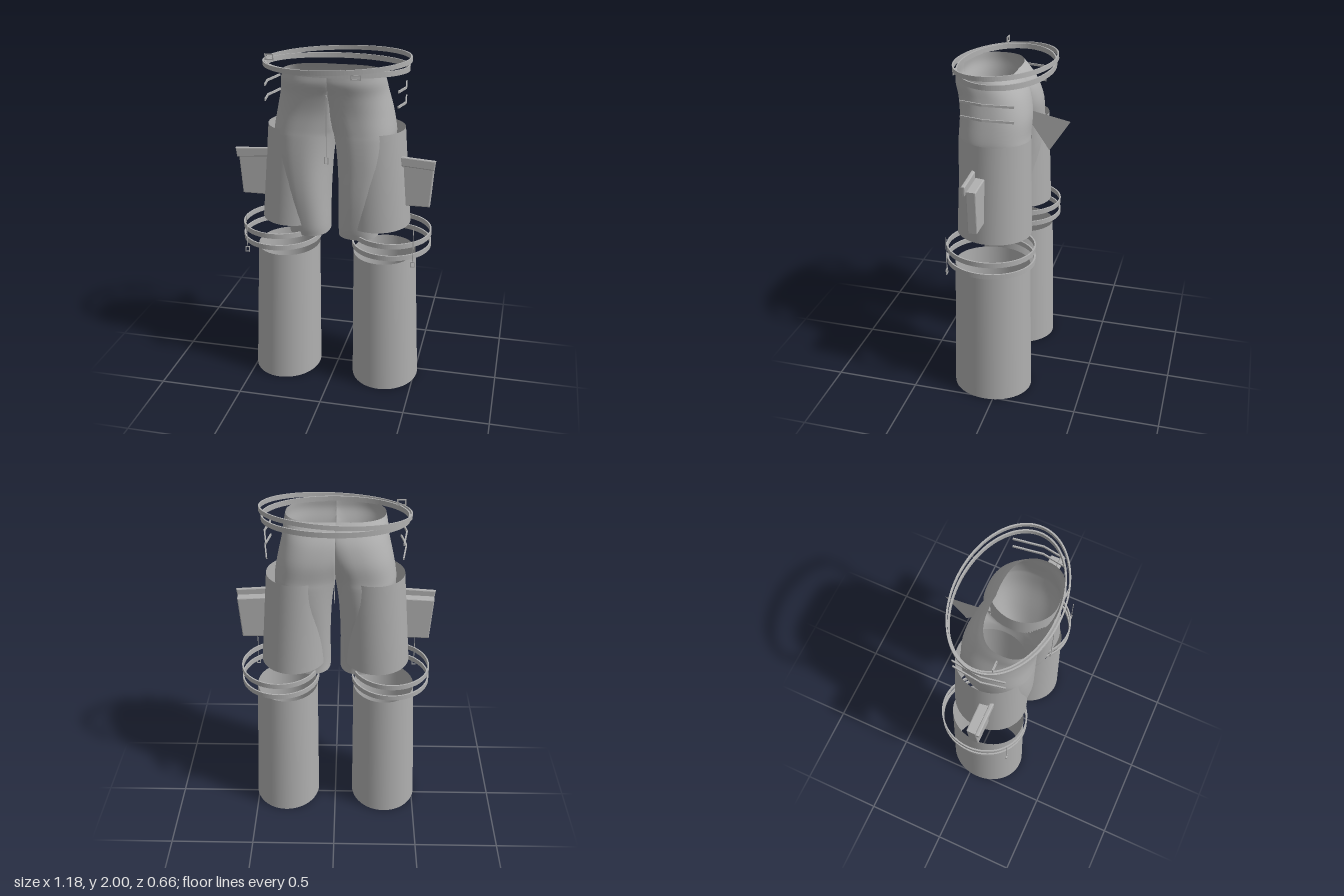
import * as THREE from 'three';

const grey = new THREE.MeshStandardMaterial({ color: 0xb0b0b0, side: THREE.DoubleSide });
grey.name = 'plain grey';

function part(name, geometry, x = 0, y = 0, z = 0) {
  const mesh = new THREE.Mesh(geometry, grey);
  mesh.name = name;
  mesh.position.set(x, y, z);
  return mesh;
}

// Flat elliptical band with a small wall thickness, centred on its own height
function band(rx, rz, height = 0.03, wall = 0.009) {
  const shape = new THREE.Shape().absellipse(0, 0, rx, rz, 0, Math.PI * 2);
  shape.holes.push(new THREE.Path().absellipse(0, 0, rx - wall, rz - wall, 0, Math.PI * 2, true));
  return new THREE.ExtrudeGeometry(shape, { depth: height, bevelEnabled: false, curveSegments: 64 })
    .translate(0, 0, -height / 2).rotateX(-Math.PI / 2);
}

// Small rectangular ring used for buckles and pulls
function frame(w, h, wall = 0.005, depth = 0.006) {
  const rect = (Type, a, b) => new Type([[-a, -b], [a, -b], [a, b], [-a, b]].map(p => new THREE.Vector2(...p)));
  const shape = rect(THREE.Shape, w / 2, h / 2);
  shape.holes.push(rect(THREE.Path, w / 2 - wall, h / 2 - wall));
  return new THREE.ExtrudeGeometry(shape, { depth, bevelEnabled: false }).translate(0, 0, -depth / 2);
}

// Open sleeve; each end is [y, cx, rx, cz, rz]
function sleeve(top, bottom) {
  const geo = new THREE.CylinderGeometry(1, 1, 1, 48, 1, true);
  const p = geo.attributes.position;
  for (let i = 0; i < p.count; i++) {
    const [y, cx, rx, cz, rz] = p.getY(i) > 0 ? top : bottom;
    p.setXYZ(i, cx + rx * p.getX(i), y, cz + rz * p.getZ(i));
  }
  geo.computeBoundingSphere();
  return geo;
}

// Half of the trousers: one leg whose upper sections merge at the centre line
function trouserHalf() {
  const keys = [ // y, cx, rx, cz, rz
    [1.92, 0.06, 0.225, 0.135, 0.165],
    [1.87, 0.075, 0.22, 0.115, 0.185],
    [1.80, 0.10, 0.205, 0.085, 0.195],
    [1.70, 0.135, 0.193, 0.065, 0.20],
    [1.60, 0.165, 0.182, 0.065, 0.20],
    [1.54, 0.175, 0.174, 0.065, 0.203],
    [1.40, 0.18, 0.16, 0.07, 0.20],
    [1.20, 0.165, 0.135, 0.085, 0.18],
    [1.02, 0.15, 0.12, 0.095, 0.15],
    [0.95, 0.148, 0.118, 0.09, 0.14],
  ];
  const curve = f => new THREE.CatmullRomCurve3(keys.map(f), false, 'catmullrom', 0.5);
  const across = curve(k => new THREE.Vector3(k[0], k[1], k[2]));
  const deep = curve(k => new THREE.Vector3(k[3], k[4], 0));
  const rows = 36, cols = 72, pos = [], index = [];
  const bend = v => Math.sign(v) * Math.abs(v) ** (2 / 2.4);
  for (let i = 0; i <= rows; i++) {
    const a = across.getPoint(i / rows), d = deep.getPoint(i / rows);
    for (let j = 0; j < cols; j++) {
      const t = j / cols * Math.PI * 2;
      pos.push(Math.max(0, a.y + a.z * bend(Math.cos(t))), a.x, d.x + d.y * bend(Math.sin(t)));
    }
  }
  for (let i = 0; i < rows; i++) {
    for (let j = 0; j < cols; j++) {
      const k = (j + 1) % cols;
      const q = [i * cols + j, i * cols + k, (i + 1) * cols + j, (i + 1) * cols + k];
      if (q.every(n => pos[n * 3] <= 0)) continue; // no wall on the centre line
      index.push(q[0], q[1], q[2], q[1], q[3], q[2]);
    }
  }
  const geo = new THREE.BufferGeometry();
  geo.setAttribute('position', new THREE.Float32BufferAttribute(pos, 3));
  geo.setIndex(index);
  geo.computeVertexNormals();
  return geo;
}

// Plate drawn in x and y, with softened edges
function plate(points, z0, z1) {
  const b = 0.006;
  const shape = new THREE.Shape(points.map(p => new THREE.Vector2(...p)));
  return new THREE.ExtrudeGeometry(shape, {
    depth: z1 - z0 - 2 * b, bevelThickness: b, bevelSize: b, bevelOffset: -b, bevelSegments: 2,
  }).translate(0, 0, z0 + b);
}

// Thin bowed strap running along the hip
function hipStrap() {
  const outer = [[0.382, 0.2], [0.405, 0.07], [0.382, -0.1]];
  const inner = outer.map(([x, z]) => [x - 0.008, z]).reverse();
  const shape = new THREE.Shape([...outer, ...inner].map(([x, z]) => new THREE.Vector2(x, -z)));
  return new THREE.ExtrudeGeometry(shape, { depth: 0.013, bevelEnabled: false })
    .rotateX(-Math.PI / 2).rotateX(-0.03);
}

function side(name) {
  const g = new THREE.Group();
  g.name = name;
  g.add(part('trouserHalf', trouserHalf()));
  g.add(part('thighSleeve', sleeve([1.59, 0.22, 0.18, 0.047, 0.2], [1.02, 0.25, 0.193, 0.05, 0.217])));
  g.add(part('lowerSleeve', sleeve([0.83, 0.295, 0.185, 0.05, 0.222], [0, 0.313, 0.203, 0.05, 0.237])));
  for (const y of [0.96, 0.887]) g.add(part('legHoop', band(0.235, 0.258), 0.335, y, 0.047));
  for (const y of [1.82, 1.735]) g.add(part('hipStrap', hipStrap(), 0, y));

  // Side pocket with its flap
  g.add(part('pocket', plate([[0.39, 1.145], [0.56, 1.145], [0.58, 1.4], [0.385, 1.41]], 0.058, 0.115)));
  g.add(part('pocketFlap', plate([[0.37, 1.392], [0.583, 1.376], [0.59, 1.432], [0.372, 1.447]], 0.115, 0.138)));

  // Cord and pull beside the knee
  g.add(part('kneeCord', new THREE.BoxGeometry(0.004, 0.2, 0.004), 0.494, 0.963, 0.265));
  g.add(part('kneePull', frame(0.026, 0.034), 0.495, 0.847, 0.265));
  return g;
}

export function createModel() {
  const model = new THREE.Group();
  model.name = 'trousers';
  const left = side('leftSide'), right = side('rightSide');
  right.scale.x = -1;
  model.add(left, right);

  // Waist hoops, the upper one tilted
  model.add(part('waistHoop', band(0.415, 0.271), 0, 1.93, 0.04));
  const tilted = part('tiltedWaistHoop', band(0.427, 0.286, 0.026), 0, 1.96, 0.045);
  tilted.rotation.set(0.055, 0, 0.047);
  model.add(tilted);
  model.add(part('sideBuckle', frame(0.052, 0.036, 0.007), -0.368, 1.977, 0.135));
  model.add(part('frontBuckle', frame(0.06, 0.028, 0.006), 0.16, 1.922, 0.297));

  // Front cord and pull
  model.add(part('frontCord', new THREE.BoxGeometry(0.004, 0.35, 0.003), 0, 1.645, 0.305));
  model.add(part('frontPull', frame(0.024, 0.04), 0, 1.45, 0.305));

  // Upright triangular flap at the back
  const flap = new THREE.Shape([[0.04, 1.69], [0.33, 1.63], [0.21, 1.445]].map(p => new THREE.Vector2(...p)));
  model.add(part('rearFlap', new THREE.ShapeGeometry(flap).rotateY(Math.PI / 2)));
  return model;
}
